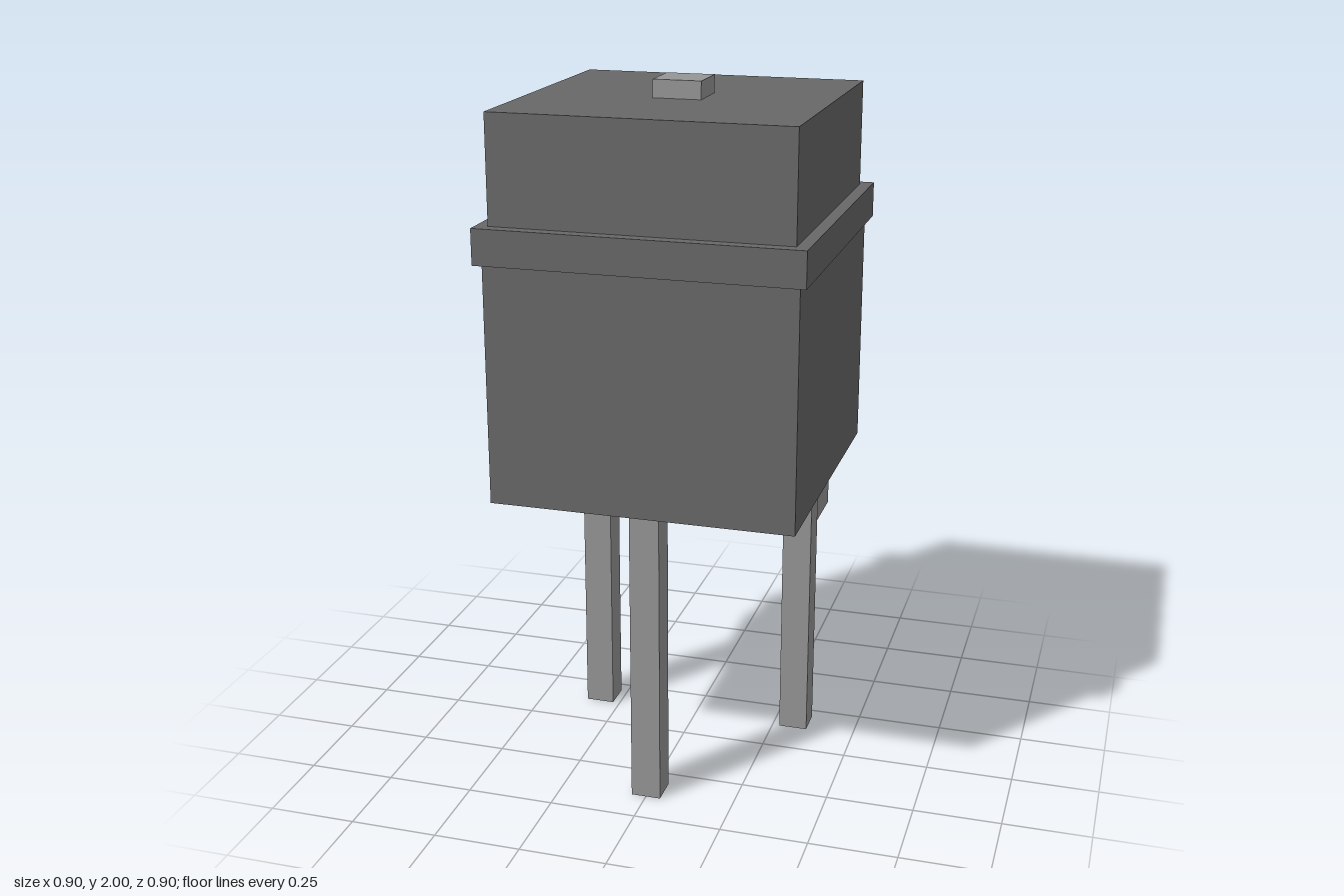
import * as THREE from 'three';

export function createModel() {
  const group = new THREE.Group();
  const darkGrey = new THREE.MeshStandardMaterial({ color: 0x686868 });
  darkGrey.name = 'darkGrey';
  const lightGrey = new THREE.MeshStandardMaterial({ color: 0x969696 });
  lightGrey.name = 'lightGrey';

  // Box given by its footprint, bottom and top heights, and centre
  function addBox(name, width, depth, bottom, top, material, x = 0, z = 0) {
    const mesh = new THREE.Mesh(new THREE.BoxGeometry(width, top - bottom, depth), material);
    mesh.position.set(x, (bottom + top) / 2, z);
    mesh.name = name;
    group.add(mesh);
  }

  // Cooker body, overhanging rim, domed lid block and its knob
  addBox('body', 0.86, 0.86, 0.875, 1.55, darkGrey);
  addBox('rim', 0.9, 0.9, 1.55, 1.65, darkGrey);
  addBox('lid', 0.83, 0.83, 1.65, 1.95, darkGrey);
  addBox('lidKnob', 0.136, 0.136, 1.95, 2, lightGrey);

  // Three legs: one in front, two behind
  addBox('frontLeg', 0.085, 0.085, 0, 0.875, lightGrey, 0, 0.348);
  for (const side of [-1, 1]) {
    addBox(side > 0 ? 'leftBackLeg' : 'rightBackLeg', 0.085, 0.085, 0, 0.875, lightGrey, side * 0.314, -0.168);
  }

  // Shelf fixed behind the back legs
  addBox('shelf', 0.68, 0.24, 0.63, 0.7, lightGrey, 0, -0.33);

  return group;
}
